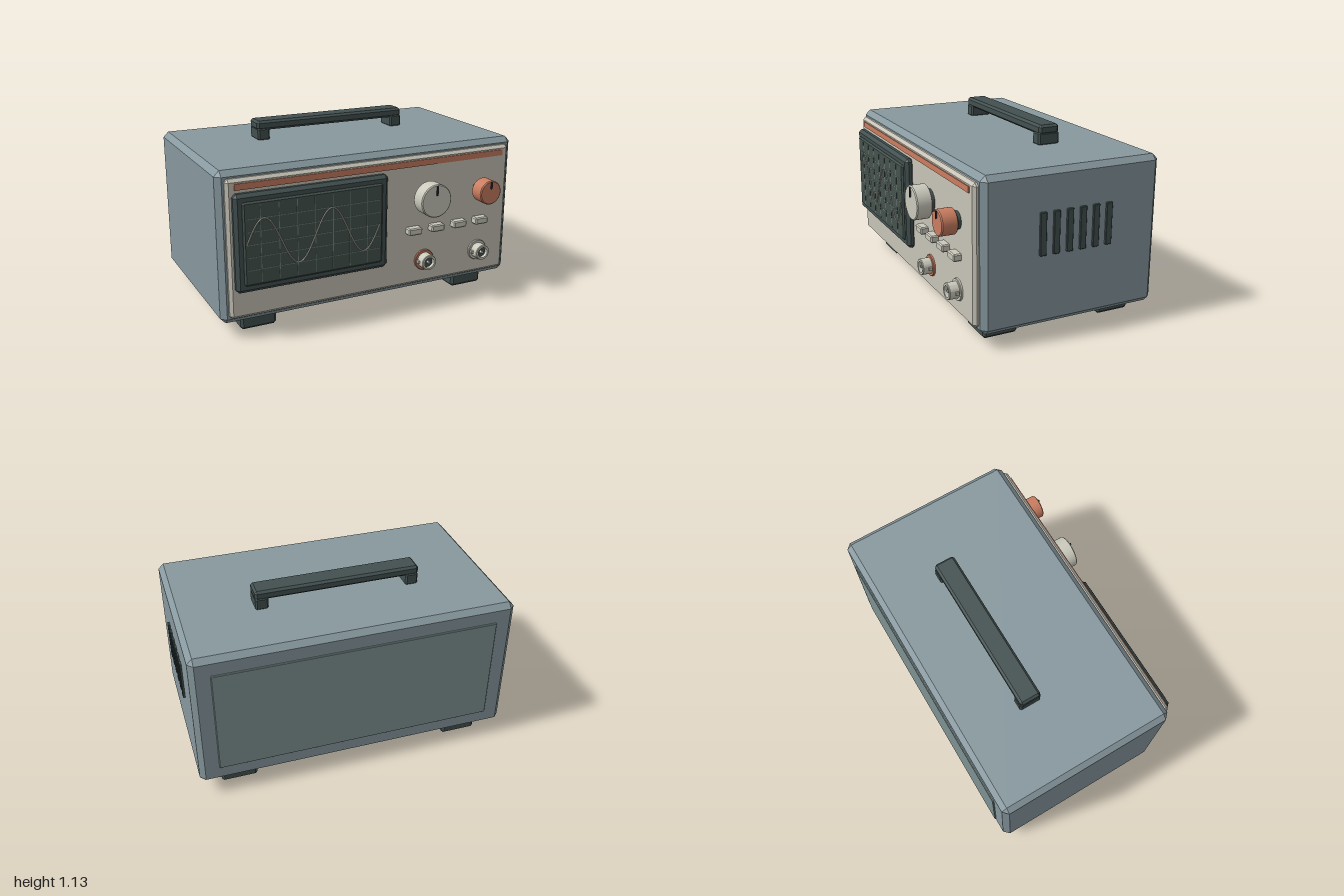
import * as THREE from 'three';
import { toCreasedNormals } from 'three/addons/utils/BufferGeometryUtils.js';
import { ConvexGeometry } from 'three/addons/geometries/ConvexGeometry.js';

const material = (name, color) => {
  const m = new THREE.MeshStandardMaterial({ color });
  m.name = name;
  return m;
};

export function createModel() {
  const caseBlue = material('caseBlueGrey', 0x87989e);
  const rearGrey = material('rearPanelGrey', 0x7e9293);
  const cream = material('panelCream', 0xc7c4b7);
  const knobCream = material('knobCream', 0xcbcabd);
  const dark = material('darkTrim', 0x435050);
  const glass = material('screenGlass', 0x45534f);
  const gridGreen = material('gridGreen', 0x72867a);
  const orange = material('accentOrange', 0xc97d60);
  const black = material('pointerBlack', 0x2b3233);

  const model = new THREE.Group();
  model.name = 'oscilloscope';
  const add = (name, geometry, mat, x = 0, y = 0, z = 0, parent = model) => {
    const mesh = new THREE.Mesh(geometry, mat);
    mesh.name = name;
    mesh.position.set(x, y, z);
    parent.add(mesh);
    return mesh;
  };

  // Box given by its limits, with all twelve edges chamfered by c
  const block = (name, mat, [x0, x1], [y0, y1], [z0, z1], c = 0, parent = model) => {
    const w = (x1 - x0) / 2, h = (y1 - y0) / 2, d = (z1 - z0) / 2;
    let geometry;
    if (c > 0) {
      const points = [];
      for (const i of [-1, 1]) for (const j of [-1, 1]) for (const k of [-1, 1]) {
        points.push(
          new THREE.Vector3(i * w, j * (h - c), k * (d - c)),
          new THREE.Vector3(i * (w - c), j * h, k * (d - c)),
          new THREE.Vector3(i * (w - c), j * (h - c), k * d));
      }
      geometry = new ConvexGeometry(points);
    } else geometry = new THREE.BoxGeometry(2 * w, 2 * h, 2 * d);
    return add(name, geometry, mat, (x0 + x1) / 2, (y0 + y1) / 2, (z0 + z1) / 2, parent);
  };

  // Turned part: profile of [radius, z], axis pointing to the front
  const turned = (profile) => toCreasedNormals(
    new THREE.LatheGeometry(profile.map(p => new THREE.Vector2(...p)), 36).rotateX(Math.PI / 2), 0.5);

  // Housing and panels
  block('case', caseBlue, [-1, 0.985], [0.09, 1.01], [-0.645, 0.49], 0.033);
  block('rearPanel', rearGrey, [-0.88, 0.865], [0.2, 0.895], [-0.655, -0.64], 0.004);
  block('frontPanel', cream, [-0.955, 0.94], [0.13, 0.967], [0.47, 0.52], 0.018);
  block('accentStripe', orange, [-0.905, 0.89], [0.904, 0.941], [0.518, 0.527]);

  // Feet
  for (const x of [-0.747, 0.732]) for (const z of [0.307, -0.461]) {
    block('foot', dark, [x - 0.113, x + 0.113], [0, 0.095], [z - 0.11, z + 0.11], 0.015);
  }

  // Carrying handle
  const handle = new THREE.Group();
  handle.name = 'handle';
  model.add(handle);
  block('handleBar', dark, [-0.525, 0.508], [1.07, 1.13], [-0.25, -0.116], 0.014, handle);
  for (const x of [-0.482, 0.467]) {
    block('handlePost', dark, [x - 0.04, x + 0.04], [1.005, 1.085], [-0.253, -0.112], 0.01, handle);
  }

  // Side vents
  for (let i = 0; i < 6; i++) {
    const z = 0.123 - i * 0.0853;
    block('vent', dark, [0.98, 0.999], [0.516, 0.77], [z - 0.02, z + 0.02], 0.003);
  }

  // Screen with graticule and trace
  const screen = new THREE.Group();
  screen.name = 'screen';
  model.add(screen);
  block('screenBezel', dark, [-0.925, 0.045], [0.3, 0.888], [0.505, 0.565], 0.02, screen);
  block('screenGlass', glass, [-0.88, 0], [0.345, 0.843], [0.55, 0.577], 0.01, screen);
  for (let i = -3; i <= 3; i++) {
    const x = -0.442 + i * 0.112;
    block('gridVertical', gridGreen, [x - 0.002, x + 0.002], [0.365, 0.823], [0.575, 0.5785], 0, screen);
  }
  for (let i = -2; i <= 2; i++) {
    const y = 0.592 + i * 0.076;
    block('gridHorizontal', gridGreen, [-0.86, -0.02], [y - 0.002, y + 0.002], [0.575, 0.5785], 0, screen);
  }
  const wave = [];
  for (let i = 0; i <= 64; i++) {
    wave.push(new THREE.Vector3(-0.863 + 0.84 * i / 64, 0.593 + 0.15 * Math.sin(i / 16 * Math.PI), 0.579));
  }
  add('trace', new THREE.TubeGeometry(new THREE.CatmullRomCurve3(wave), 160, 0.004, 6), knobCream, 0, 0, 0, screen);

  // Control knobs
  const knob = (name, x, r, mat) => {
    const group = new THREE.Group();
    group.name = name;
    group.position.set(x, 0.705, 0);
    model.add(group);
    add('knobCollar', turned([[r * 0.68, 0.515], [r * 0.68, 0.555]]), dark, 0, 0, 0, group);
    add('knobCap', turned([[0, 0.547], [r - 0.005, 0.547], [r, 0.552], [r, 0.639], [r - 0.006, 0.645], [0, 0.645]]),
      mat, 0, 0, 0, group);
    block('knobPointer', black, [-0.005, 0.005], [r * 0.35, r * 0.92], [0.644, 0.653], 0, group);
  };
  knob('largeKnob', 0.333, 0.105, knobCream);
  knob('smallKnob', 0.73, 0.077, orange);

  // Push buttons
  for (const x of [0.24, 0.403, 0.567, 0.73]) {
    block('button', knobCream, [x - 0.047, x + 0.047], [0.475, 0.52], [0.51, 0.568], 0.007);
  }

  // Input sockets
  const socket = (name, x, ringMat) => {
    const group = new THREE.Group();
    group.name = name;
    group.position.set(x, 0.288, 0);
    model.add(group);
    add('socketRing', turned([[0.067, 0.515], [0.067, 0.53], [0.064, 0.533], [0, 0.533]]), ringMat, 0, 0, 0, group);
    add('socketBarrel', turned([[0.05, 0.53], [0.05, 0.59], [0.047, 0.594], [0.034, 0.594], [0.034, 0.56]]),
      knobCream, 0, 0, 0, group);
    add('socketCore', turned([[0.034, 0.55], [0.034, 0.572], [0, 0.572]]), dark, 0, 0, 0, group);
    add('socketPin', turned([[0.009, 0.57], [0.009, 0.588], [0, 0.588]]), knobCream, 0, 0, 0, group);
    for (const s of [-1, 1]) {
      add('socketLug', new THREE.BoxGeometry(0.02, 0.018, 0.02), knobCream, s * 0.052, 0, 0.55, group);
    }
  };
  socket('leftSocket', 0.327, orange);
  socket('rightSocket', 0.73, knobCream);

  return model;
}
